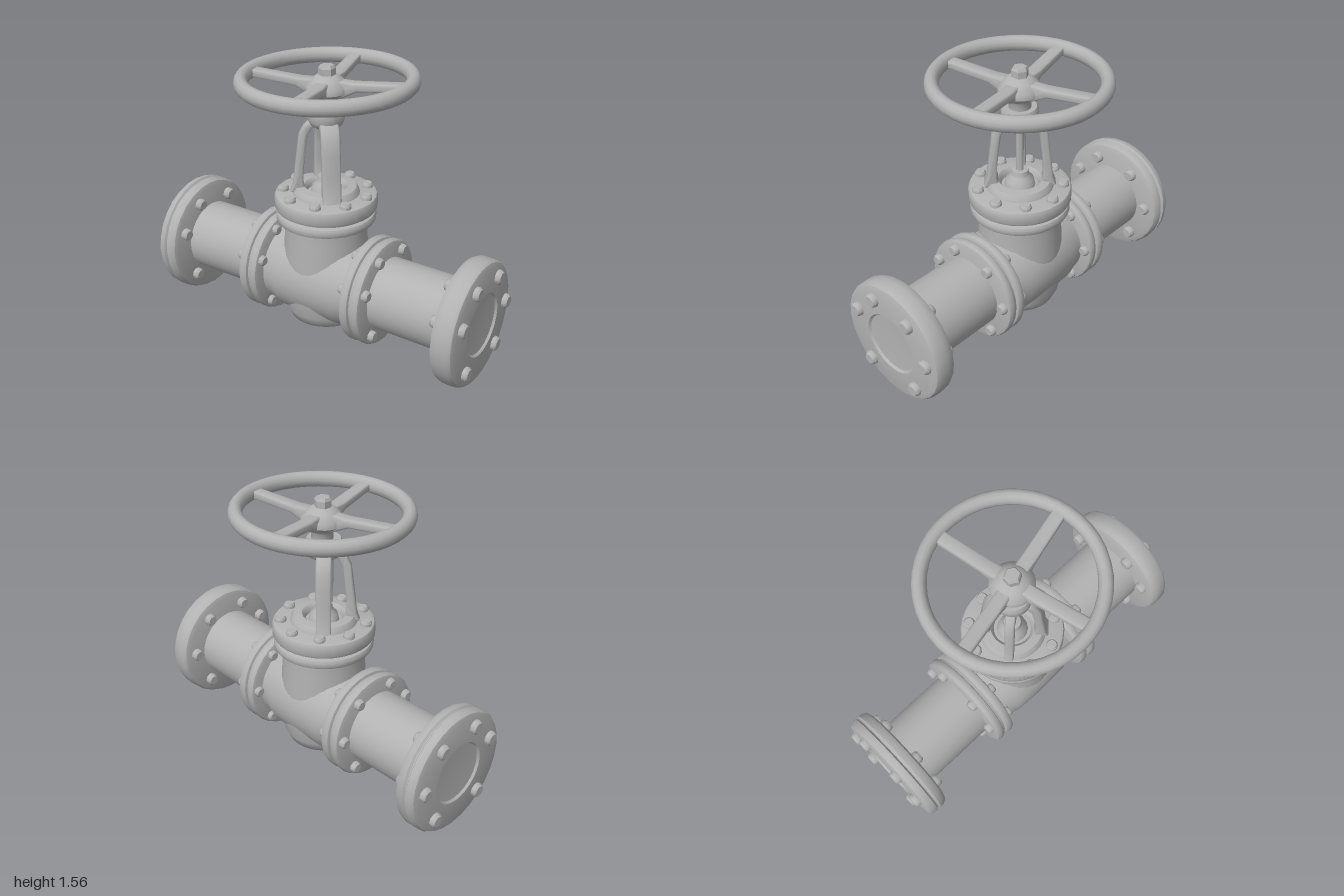
import * as THREE from 'three';
import { toCreasedNormals } from 'three/addons/utils/BufferGeometryUtils.js';

const castMetal = new THREE.MeshStandardMaterial({ color: 0xb2b2b2 });
castMetal.name = 'castMetal';

const AXIS_Y = 0.355; // height of the pipe centreline
const RAD = Math.PI / 180;

export function createModel() {
  const model = new THREE.Group();
  model.name = 'gateValve';

  function add(parent, name, geometry, crease = 0.7) {
    const mesh = new THREE.Mesh(toCreasedNormals(geometry, crease), castMetal);
    mesh.name = name;
    parent.add(mesh);
    return mesh;
  }
  // Turned solid; profile is [radius, height] from bottom to top
  const turned = (profile, sides = 32) =>
    new THREE.LatheGeometry(profile.map(([r, h]) => new THREE.Vector2(r, h)), sides);
  // The same, lying along x on the pipe centreline
  const turnedX = (profile, sides) => turned(profile, sides).rotateZ(-Math.PI / 2).translate(0, AXIS_Y, 0);
  // Side profile in radius and height, given a width and swung about the upright axis
  function radialPlate(points, width, angle, bevel = 0.01) {
    const shape = new THREE.Shape(points.map(([r, y]) => new THREE.Vector2(r, y)));
    return new THREE.ExtrudeGeometry(shape, {
      depth: width - 2 * bevel, bevelEnabled: true, bevelSize: bevel,
      bevelThickness: bevel, bevelOffset: -bevel, bevelSegments: 2,
    }).translate(0, 0, bevel - width / 2).rotateY(angle);
  }
  // Rounded disc profile between two positions
  const disc = (r, a, b, e = 0.016) => [
    [0, a], [r - e * 1.5, a], [r - e * 0.4, a + e * 0.4], [r, a + e * 1.2],
    [r, b - e * 1.2], [r - e * 0.4, b - e * 0.4], [r - e * 1.5, b], [0, b],
  ];
  const boltProfile = (r, h) => [[r, -0.01], [r, h * 0.6], [r * 0.75, h], [0, h]];

  // Ring of bolts on a pipe flange, pointing along dir
  const boltAngles = [22, 66, 124, 176, 230, 310];
  function pipeBolts(name, x, dir, ringRadius, size, height) {
    const group = new THREE.Group();
    group.name = name;
    for (const a of boltAngles) {
      const bolt = add(group, 'bolt', turned(boltProfile(size, height), 10));
      bolt.rotation.z = -dir * Math.PI / 2;
      bolt.position.set(x, AXIS_Y + ringRadius * Math.sin(a * RAD), ringRadius * Math.cos(a * RAD));
    }
    model.add(group);
  }

  // Valve body: upright neck crossing a short barrel
  add(model, 'bodyNeck', turned([
    [0, 0.1], [0.16, 0.1], [0.2, 0.115], [0.225, 0.17], [0.238, 0.3],
    [0.238, 0.5], [0.228, 0.62], [0.228, 0.71],
  ]), 1.2);
  add(model, 'bodyBarrel', turnedX([
    [0.225, -0.3], [0.228, -0.25], [0.25, -0.18], [0.255, 0],
    [0.25, 0.18], [0.228, 0.25], [0.225, 0.3],
  ]), 1.2);

  // Pipes and flanges on both sides
  for (const side of [1, -1]) {
    const label = side > 0 ? 'left' : 'right';
    const span = (a, b) => (side > 0 ? [a, b] : [-b, -a]);
    add(model, label + 'Pipe', turnedX([[0.203, 0], [0.203, 1]].map(([r, t]) => {
      const [a, b] = span(0.38, 0.86);
      return [r, a + t * (b - a)];
    })));
    add(model, label + 'BodyFlange', turnedX(disc(0.3, ...span(0.275, 0.333))));
    add(model, label + 'PipeFlange', turnedX(disc(0.3, ...span(0.341, 0.4))));
    add(model, label + 'FlangeGasket', turnedX(disc(0.28, ...span(0.32, 0.36), 0.005)));
    pipeBolts(label + 'InnerBolts', side * 0.4, side, 0.25, 0.032, 0.03);
    pipeBolts(label + 'BodyBolts', side * 0.275, -side, 0.255, 0.03, 0.025);

    // End flange with a shallow round recess in its face
    const outer = [
      [0, 0.84], [0.31, 0.84], [0.335, 0.85], [0.345, 0.87], [0.347, 0.895],
      ...(side < 0 ? [[0.335, 0.905], [0.335, 0.911], [0.347, 0.92]] : []),
      [0.345, 0.945], [0.335, 0.962], [0.31, 0.97], [0.175, 0.974], [0.165, 0.962], [0, 0.955],
    ];
    const profile = side > 0 ? outer : outer.map(([r, x]) => [r, -x]).reverse();
    add(model, label + 'EndFlange', turnedX(profile, 28));
    pipeBolts(label + 'EndBolts', side * 0.968, side, 0.262, 0.04, 0.032);
    pipeBolts(label + 'EndNuts', side * 0.84, -side, 0.262, 0.036, 0.035);
  }

  // Bonnet flanges and bolts
  add(model, 'bonnetLowerFlange', turned(disc(0.275, 0.7, 0.76)));
  add(model, 'bonnetGasket', turned(disc(0.25, 0.75, 0.785, 0.005)));
  add(model, 'bonnetUpperFlange', turned(disc(0.282, 0.77, 0.86)));
  const bonnetBolts = new THREE.Group();
  bonnetBolts.name = 'bonnetBolts';
  model.add(bonnetBolts);
  for (let i = 0; i < 9; i++) {
    const a = i * Math.PI * 2 / 9;
    add(bonnetBolts, 'bolt', turned(boltProfile(0.032, 0.028), 10))
      .position.set(0.235 * Math.sin(a), 0.858, -0.235 * Math.cos(a));
  }

  // Yoke: hollow foot ring, three arms and a collar
  add(model, 'yokeFoot', turned([
    [0.185, 0.855], [0.18, 0.875], [0.165, 0.895], [0.12, 0.9], [0.105, 0.885], [0.1, 0.855],
  ]));
  const armProfile = [
    [0.11, 0.87], [0.195, 0.87], [0.178, 0.92], [0.17, 1.0], [0.155, 1.12], [0.145, 1.2],
    [0.12, 1.245], [0.09, 1.275], [0.03, 1.275], [0.03, 1.25], [0.075, 1.235], [0.1, 1.19],
    [0.112, 1.1], [0.122, 1.0], [0.125, 0.93],
  ];
  for (const [angle, width] of [[-45, 0.1], [135, 0.08], [-140, 0.05]]) {
    add(model, 'yokeArm', radialPlate(armProfile, width, angle * RAD), 0.9);
  }
  add(model, 'yokeCollar', turned([
    [0, 1.235], [0.06, 1.235], [0.085, 1.25], [0.097, 1.275], [0.1, 1.325], [0.09, 1.345], [0, 1.345],
  ], 20));

  // Stem with its gland
  add(model, 'stem', turned([[0.021, 0.85], [0.021, 1.26]], 12));
  add(model, 'stemGland', turned([[0.085, 0.855], [0.075, 0.9], [0.05, 0.925], [0.045, 0.955], [0, 0.96]], 16));

  // Handwheel, tilted very slightly
  const wheel = new THREE.Group();
  wheel.name = 'handwheel';
  wheel.position.set(0.004, 1.493, -0.004);
  wheel.rotation.set(0.01, 0, 0.012);
  model.add(wheel);
  add(wheel, 'rim', new THREE.TorusGeometry(0.446, 0.038, 12, 44)
    .rotateX(Math.PI / 2).scale(1, 1.15, 1), 1.2);
  for (let i = 0; i < 4; i++) {
    add(wheel, 'spoke', radialPlate([
      [0.0, -0.1], [0.06, -0.1], [0.17, -0.045], [0.43, -0.022],
      [0.43, 0.02], [0.15, 0.0], [0.0, 0.005],
    ], 0.074, (13 + i * 90) * RAD, 0.012), 0.8);
  }
  add(wheel, 'hub', turned([
    [0.06, -0.16], [0.058, -0.11], [0.075, -0.09], [0.115, -0.06], [0.115, -0.03],
    [0.08, 0.005], [0.055, 0.025], [0, 0.03],
  ], 20), 0.9);
  add(wheel, 'hubNut', turned([[0.046, 0], [0.046, 0.062], [0.036, 0.077], [0, 0.077]], 6), 0.5);

  return model;
}
